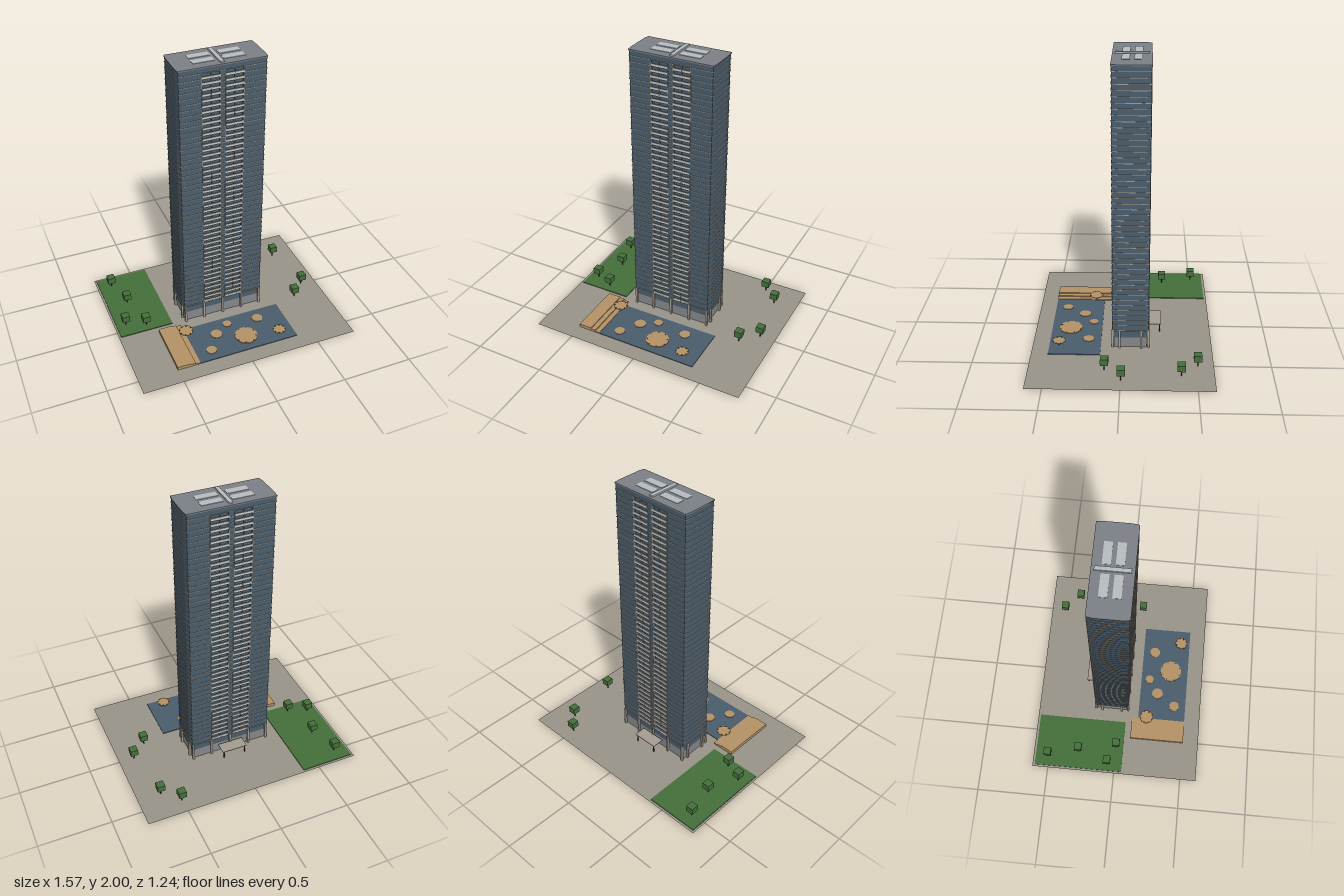
import * as THREE from 'three';
import { mergeGeometries } from 'three/addons/utils/BufferGeometryUtils.js';

const mat = (name, color, side = THREE.FrontSide) => {
  const m = new THREE.MeshStandardMaterial({ color, side });
  m.name = name;
  return m;
};

// Box given by its limits
function box(x0, x1, y0, y1, z0, z1) {
  return new THREE.BoxGeometry(x1 - x0, y1 - y0, z1 - z0)
    .translate((x0 + x1) / 2, (y0 + y1) / 2, (z0 + z1) / 2);
}

// Disc with its underside at y
function disc(x, z, r, y, h) {
  return new THREE.CylinderGeometry(r, r, h, 16).translate(x, y + h / 2, z);
}

// Upright prism from an [x, z] outline
function prism(points, y0, y1) {
  const shape = new THREE.Shape(points.map(([x, z]) => new THREE.Vector2(x, -z)));
  return new THREE.ExtrudeGeometry(shape, { depth: y1 - y0, bevelEnabled: false })
    .rotateX(-Math.PI / 2).translate(0, y0, 0);
}

const FRONT = 0.066, BACK = -0.182, MID = (FRONT + BACK) / 2;
const BASE = 0.14, STEP = 0.0393, FLOORS = 47, ROOF = 1.99;

// Tower outline with gently bowed ends, grown outward by o
function outline(o) {
  const f = FRONT + o, b = BACK - o;
  return [[-0.292 - o, f], [0.292 + o, f], [0.298 + o, f - 0.045], [0.298 + o, b + 0.045],
    [0.292 + o, b], [-0.292 - o, b], [-0.298 - o, b + 0.045], [-0.298 - o, f - 0.045]];
}

// Tower outline with two recessed balcony bays on both long sides
function recessedOutline(d) {
  const half = [[-0.292, FRONT], [-0.14, FRONT], [-0.14, FRONT - d], [-0.018, FRONT - d],
    [-0.018, FRONT], [0.018, FRONT], [0.018, FRONT - d], [0.14, FRONT - d],
    [0.14, FRONT], [0.292, FRONT], [0.298, FRONT - 0.045]];
  return [...half, [0.298, BACK + 0.045],
    ...half.slice(0, 10).map(([x, z]) => [-x, 2 * MID - z]),
    [-0.298, BACK + 0.045], [-0.298, FRONT - 0.045]];
}

export function createModel() {
  const model = new THREE.Group();
  model.name = 'towerAndGarden';
  const paving = mat('paving', 0x9a948a, THREE.DoubleSide);
  const grass = mat('grass', 0x456f3a);
  const blue = mat('blueGlass', 0x4a5d6d);
  const wood = mat('wood', 0xb59266);
  const roofGrey = mat('roofGrey', 0x7d8086);
  const paleGrey = mat('paleGrey', 0xb8bdc1);
  const white = mat('balconyWhite', 0xc9c9c6);
  const stone = mat('stone', 0xa69d90);
  const lobbyGrey = mat('lobbyGrey', 0x85878a);
  const dark = mat('darkMetal', 0x3b3733);

  const add = (name, geos, material) => {
    const mesh = new THREE.Mesh(Array.isArray(geos) ? mergeGeometries(geos) : geos, material);
    mesh.name = name;
    model.add(mesh);
  };

  // Site
  add('ground', new THREE.PlaneGeometry(1.57, 1.235).rotateX(-Math.PI / 2).translate(0, 0.003, 0), paving);
  add('lawn', box(-0.77, -0.385, 0.003, 0.009, -0.6, 0.055), grass);
  add('pool', box(-0.5, 0.393, 0, 0.008, 0.147, 0.502), blue);

  // Tower body, plain crown and floor slabs
  const bayTop = BASE + STEP * (FLOORS - 1);
  add('glassTower', prism(recessedOutline(0.018), BASE, bayTop), blue);
  add('crown', prism(outline(0), bayTop, ROOF - 0.008), blue);
  add('roof', prism(outline(0.004), ROOF - 0.008, ROOF), roofGrey);
  const slabs = [], rails = [], piers = [];
  for (let i = 0; i < FLOORS; i++) {
    const y = BASE + i * STEP;
    slabs.push(prism(outline(0.003), y - 0.002, y + 0.002));
    if (i === FLOORS - 1) continue;
    // Balcony parapets on the front and back
    for (const s of [-1, 1]) {
      const x0 = s < 0 ? -0.139 : 0.019;
      for (const z of [FRONT, BACK]) {
        rails.push(box(x0, x0 + 0.12, y + 0.002, y + 0.016, z - 0.003, z + 0.003));
      }
    }
  }
  add('floorSlabs', slabs, stone);
  add('balconyParapets', rails, white);
  for (const x of [-0.141, -0.079, -0.018, 0.018, 0.079, 0.141]) {
    for (const z of [FRONT, BACK]) {
      piers.push(box(x - 0.002, x + 0.002, BASE, bayTop, z - 0.004, z + 0.004));
    }
  }
  add('balconyPiers', piers, stone);

  // Roof beam and skylights
  add('roofBeam', box(-0.013, 0.013, ROOF, 2, -0.167, 0.05), paleGrey);
  const lights = [];
  for (const x of [-0.102, 0.102]) {
    for (const z of [-0.1, -0.02]) {
      lights.push(box(x - 0.072, x + 0.072, ROOF, ROOF + 0.003, z - 0.026, z + 0.026));
    }
  }
  add('skylights', lights, paleGrey);

  // Lobby, upper lobby glass and ground floor columns
  add('lobby', box(-0.283, 0.283, 0.003, 0.08, BACK + 0.012, FRONT - 0.012), lobbyGrey);
  add('upperLobby', box(-0.288, 0.288, 0.08, BASE, BACK + 0.008, FRONT - 0.008), blue);
  add('lobbyBeam', prism(outline(0.004), BASE - 0.006, BASE + 0.002), stone);
  const columns = [];
  for (const x of [-0.285, -0.145, 0, 0.145, 0.285]) {
    for (const z of [FRONT, BACK]) {
      columns.push(box(x - 0.007, x + 0.007, 0.003, BASE, z - 0.007, z + 0.007));
    }
  }
  for (const x of [-0.295, 0.295]) {
    for (const z of [FRONT - 0.05, BACK + 0.05]) {
      columns.push(box(x - 0.007, x + 0.007, 0.003, BASE, z - 0.007, z + 0.007));
    }
  }
  add('columns', columns, stone);

  // Entrance canopy at the back
  add('canopy', box(-0.092, 0.092, 0.064, 0.069, -0.27, BACK), stone);
  add('canopyPosts', [-0.08, 0.08].map(x => box(x - 0.003, x + 0.003, 0.003, 0.064, -0.263, -0.257)), dark);

  // Stepped timber deck
  add('deck', [
    box(-0.505, -0.41, 0.003, 0.027, 0.1, 0.502),
    box(-0.41, -0.375, 0.003, 0.02, 0.1, 0.502),
    box(-0.375, -0.34, 0.003, 0.012, 0.1, 0.502),
  ], wood);

  // Pool islands and raised sunshades: x, z, radius
  const islands = [[0.055, 0.37, 0.081], [-0.135, 0.28, 0.042], [-0.025, 0.21, 0.032],
    [0.2, 0.235, 0.039], [-0.225, 0.415, 0.037]];
  add('poolIslands', islands.map(([x, z, r]) => disc(x, z, r, 0.006, 0.006)), wood);
  const shades = [[-0.338, 0.21, 0.051, 0.05], [0.282, 0.435, 0.046, 0.043]];
  add('sunshades', shades.map(([x, z, r, y]) => disc(x, z, r, y, 0.004)), wood);
  add('sunshadePosts', shades.map(([x, z, r, y]) => box(x - 0.003, x + 0.003, 0.003, y, z - 0.003, z + 0.003)), dark);

  // Small studs around the large island and the sunshades
  const studs = [];
  for (const [x, z, r, y] of [[0.055, 0.37, 0.073, 0.012], [-0.338, 0.21, 0.044, 0.054], [0.282, 0.435, 0.039, 0.047]]) {
    for (let i = 0; i < 8; i++) {
      const a = (i + 0.5) * Math.PI / 4;
      const px = x + r * Math.cos(a), pz = z + r * Math.sin(a);
      studs.push(box(px - 0.004, px + 0.004, y, y + 0.002, pz - 0.004, pz + 0.004));
    }
  }
  add('studs', studs, dark);

  // Trees
  const trees = [[-0.678, -0.51], [-0.622, -0.285], [-0.7, -0.06], [-0.565, -0.003],
    [0.505, -0.51], [0.617, -0.398], [0.674, -0.003], [0.56, 0.11]];
  add('treeCrowns', trees.map(([x, z]) => box(x - 0.027, x + 0.027, 0.05, 0.096, z - 0.027, z + 0.027)), grass);
  add('treeTrunks', trees.map(([x, z]) => box(x - 0.003, x + 0.003, 0.003, 0.05, z - 0.003, z + 0.003)), dark);

  return model;
}
